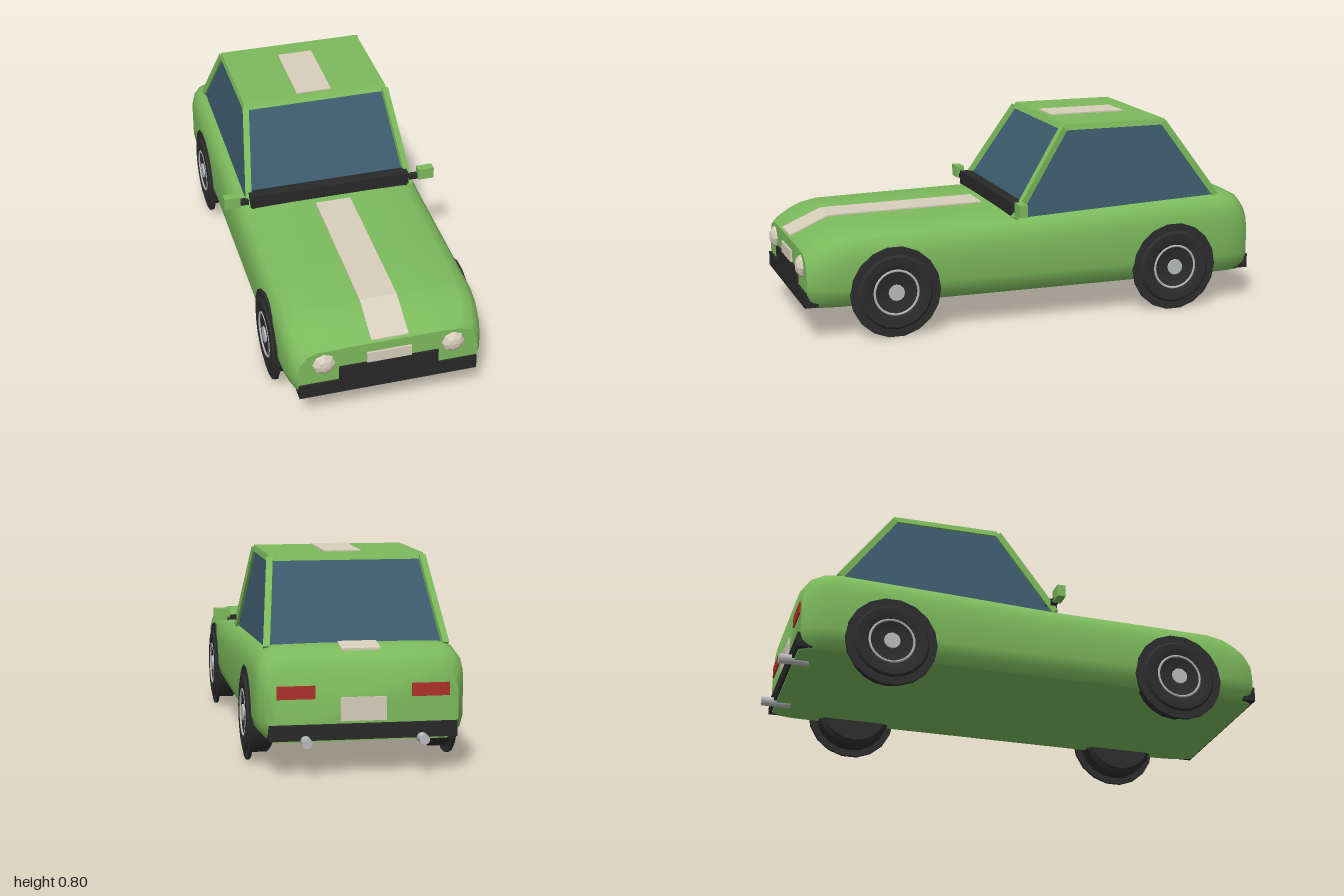
import * as THREE from 'three';
import { toCreasedNormals } from 'three/addons/utils/BufferGeometryUtils.js';

const material = (name, color) => Object.assign(new THREE.MeshStandardMaterial({ color }), { name });

// Closed solid from rings of points, listed front to back, each anticlockwise seen from the front
function loft(rings) {
  const n = rings[0].length, index = [];
  for (let i = 0; i < rings.length - 1; i++) {
    for (let j = 0; j < n; j++) {
      const k = (j + 1) % n, a = i * n + j, b = i * n + k, c = b + n, d = a + n;
      index.push(a, d, b, b, d, c);
    }
  }
  const last = (rings.length - 1) * n;
  for (let j = 1; j < n - 1; j++) {
    index.push(0, j, j + 1);
    index.push(last, last + j + 1, last + j);
  }
  const geo = new THREE.BufferGeometry();
  geo.setAttribute('position', new THREE.Float32BufferAttribute(rings.flat(2), 3));
  geo.setIndex(index);
  return toCreasedNormals(geo, 0.7);
}

// Body cross-section at z with half width w and top height t
function bodyRing([z, w, t]) {
  const b = 0.133;
  const half = [
    [w - 0.045, b], [w - 0.012, b + 0.035], [w, b + 0.08], [w, t - 0.1],
    [w - 0.01, t - 0.055], [w - 0.035, t - 0.02], [w - 0.08, t - 0.003], [w * 0.4, t],
  ];
  const right = half.map(([x, y]) => [x, y, z]);
  return [...right, ...right.slice().reverse().map(([x, y]) => [-x, y, z])];
}

// Four-cornered ring: half widths and (y, z) at its bottom and top
const quadRing = (wb, yb, zb, wt, yt, zt) =>
  [[wb, yb, zb], [wt, yt, zt], [-wt, yt, zt], [-wb, yb, zb]];

// Thin plate following a (z, y) line, centred on x = 0
function stripGeometry(points, width, thick = 0.006) {
  const outline = [...points, ...points.slice().reverse().map(([z, y]) => [z, y - thick])];
  const shape = new THREE.Shape(outline.map(p => new THREE.Vector2(...p)));
  const geo = new THREE.ExtrudeGeometry(shape, { depth: width, bevelEnabled: false });
  return geo.translate(0, 0, -width / 2).rotateY(-Math.PI / 2);
}

export function createModel() {
  const car = new THREE.Group();
  car.name = 'car';
  const paint = material('green paint', 0x7cba5c);
  const glass = material('blue glass', 0x3d5b6e);
  const cream = material('cream', 0xd8cebb);
  const trim = material('black trim', 0x292929);
  const rubber = material('tyre rubber', 0x2d2d2d);
  const chrome = material('chrome', 0xb9bcbe);
  const red = material('tail light red', 0xb0302c);

  const add = (name, geo, mat, x = 0, y = 0, z = 0, parent = car) => {
    const mesh = new THREE.Mesh(geo, mat);
    mesh.name = name;
    mesh.position.set(x, y, z);
    parent.add(mesh);
    return mesh;
  };
  const box = (name, mat, w, h, d, x, y, z) => add(name, new THREE.BoxGeometry(w, h, d), mat, x, y, z);

  // Body shell
  add('body', loft([
    [0.975, 0.365, 0.35], [0.95, 0.38, 0.372], [0.9, 0.393, 0.4], [0.85, 0.4, 0.42], [0.78, 0.403, 0.433],
    [0.5, 0.403, 0.439], [0.1, 0.403, 0.446], [-0.4, 0.403, 0.468], [-0.8, 0.403, 0.484],
    [-0.86, 0.4, 0.476], [-0.905, 0.39, 0.457], [-0.94, 0.365, 0.415],
  ].map(bodyRing)), paint);

  // Cabin glass and roof
  add('cabinGlass', loft([
    quadRing(0.35, 0.42, 0.115, 0.302, 0.785, -0.125),
    quadRing(0.35, 0.46, -0.795, 0.302, 0.785, -0.565),
  ]), glass);
  add('roof', loft([
    quadRing(0.314, 0.778, -0.115, 0.308, 0.802, -0.13),
    quadRing(0.314, 0.778, -0.58, 0.308, 0.802, -0.57),
  ]), paint);

  // Roof pillars
  for (const s of [1, -1]) {
    const ends = {
      frontPillar: [[0.351, 0.435, 0.11], [0.302, 0.788, -0.122]],
      rearPillar: [[0.346, 0.47, -0.795], [0.302, 0.788, -0.567]],
    };
    for (const [name, [from, to]] of Object.entries(ends)) {
      const a = new THREE.Vector3(...from), b = new THREE.Vector3(...to);
      a.x *= s;
      b.x *= s;
      const pillar = add(name, new THREE.BoxGeometry(0.026, 0.026, a.distanceTo(b)), paint);
      pillar.position.copy(a).lerp(b, 0.5);
      pillar.lookAt(b);
    }
  }

  // Cowl and mirrors
  box('cowl', trim, 0.69, 0.06, 0.05, 0, 0.47, 0.095);
  for (const s of [1, -1]) {
    box('mirrorStalk', trim, 0.05, 0.02, 0.025, s * 0.375, 0.47, 0.1);
    box('mirror', paint, 0.068, 0.05, 0.035, s * 0.422, 0.485, 0.105);
  }

  // Racing stripes and plates
  add('bonnetStripe', stripGeometry([[0.98, 0.373], [0.82, 0.443], [0.72, 0.445], [0.16, 0.452]], 0.15), cream);
  add('roofStripe', stripGeometry([[-0.15, 0.807], [-0.48, 0.807]], 0.15), cream);
  add('bootStripe', stripGeometry([[-0.795, 0.491], [-0.885, 0.476]], 0.15, 0.009), cream);
  box('frontPlate', cream, 0.18, 0.05, 0.008, 0, 0.285, 0.979);
  box('rearPlate', cream, 0.175, 0.09, 0.008, 0, 0.255, -0.943);

  // Bumpers
  const bumper = new THREE.Shape([
    [-0.36, 0.14], [0.36, 0.14], [0.36, 0.2], [0.2, 0.2], [0.2, 0.263], [-0.2, 0.263], [-0.2, 0.2], [-0.36, 0.2],
  ].map(p => new THREE.Vector2(...p)));
  add('frontBumper', new THREE.ExtrudeGeometry(bumper, { depth: 0.055, bevelEnabled: false }), trim, 0, 0, 0.93);
  box('rearBumper', trim, 0.72, 0.06, 0.06, 0, 0.17, -0.92);

  // Lights and exhausts
  const lamp = new THREE.SphereGeometry(0.05, 8, 6).rotateX(Math.PI / 2).scale(1, 1, 0.65).toNonIndexed();
  lamp.computeVertexNormals();
  const pipe = new THREE.CylinderGeometry(0.02, 0.02, 0.12, 10).rotateX(Math.PI / 2);
  for (const s of [1, -1]) {
    add('headlight', lamp, cream, s * 0.26, 0.288, 0.967);
    box('tailLight', red, 0.145, 0.05, 0.008, s * 0.257, 0.322, -0.942);
    add('exhaust', pipe, chrome, s * 0.222, 0.14, -0.94);
  }

  // Wheels, axis along x
  const disc = (r, w, n) => new THREE.CylinderGeometry(r, r, w, n).rotateZ(Math.PI / 2);
  const tyre = toCreasedNormals(new THREE.LatheGeometry(
    [[0, -0.05], [0.14, -0.05], [0.158, -0.035], [0.158, 0.042], [0.145, 0.055], [0.1, 0.055], [0.092, 0.05], [0, 0.05]]
      .map(p => new THREE.Vector2(...p)), 20).rotateZ(-Math.PI / 2), 0.6);
  const ring = new THREE.TorusGeometry(0.09, 0.005, 6, 28).rotateY(Math.PI / 2);
  for (const s of [1, -1]) {
    for (const [name, z] of [['frontWheel', 0.625], ['rearWheel', -0.585]]) {
      const wheel = new THREE.Group();
      wheel.name = name;
      wheel.position.set(s * 0.36, 0.186, z);
      wheel.rotation.y = s > 0 ? 0 : Math.PI;
      car.add(wheel);
      add('tyre', tyre, rubber, 0, 0, 0, wheel);
      add('tyreFlange', disc(0.186, 0.013, 18), rubber, 0.04, 0, 0, wheel);
      add('rimRing', ring, chrome, 0.052, 0, 0, wheel);
      add('hub', disc(0.033, 0.112, 12), chrome, 0.001, 0, 0, wheel);
    }
  }
  return car;
}
